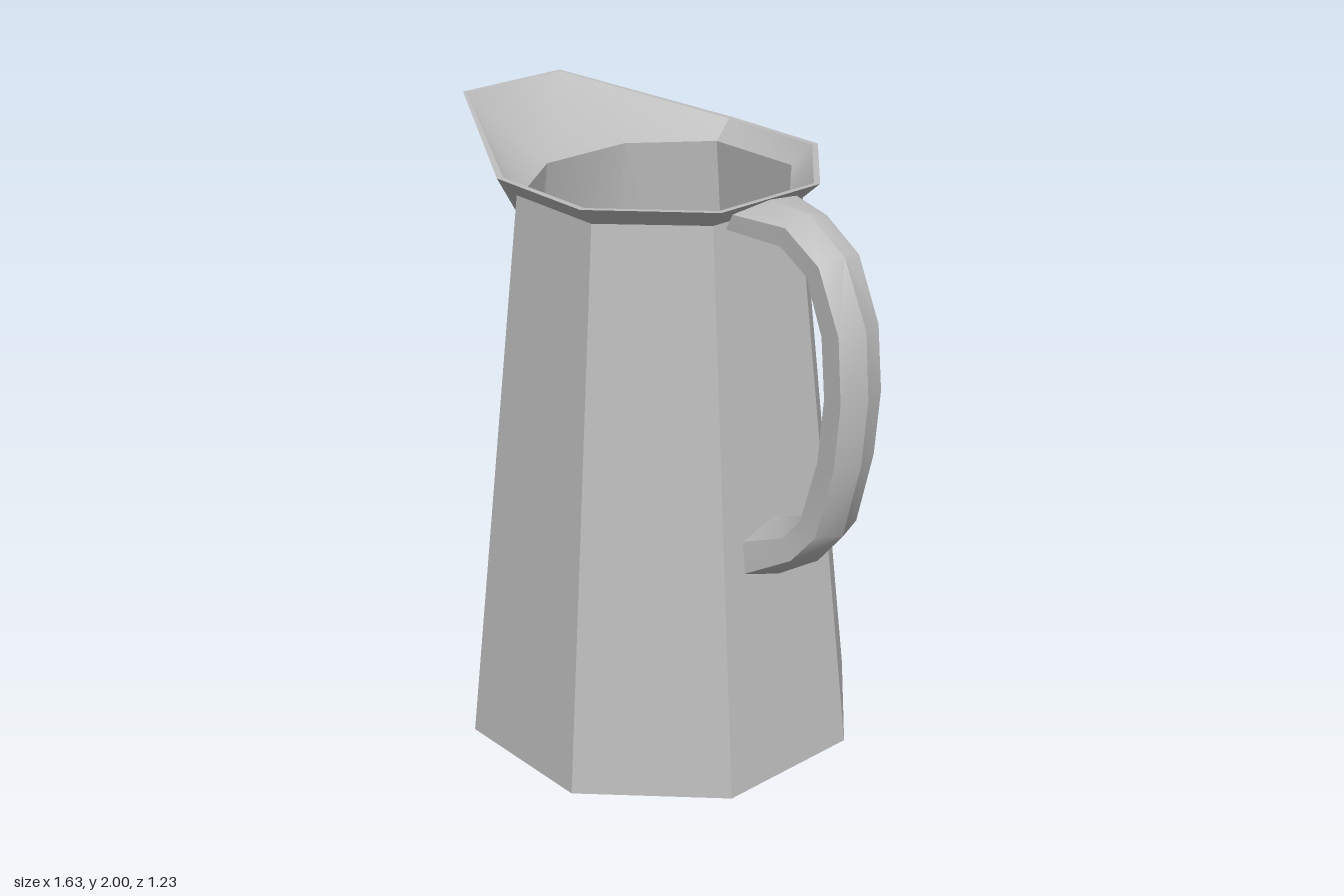
import * as THREE from 'three';
import { toCreasedNormals } from 'three/addons/utils/BufferGeometryUtils.js';

// Skin consecutive closed rings; sides picks which strips to build
function loft(rings, sides, crease) {
  const pos = [];
  const n = rings[0].length;
  for (let k = 0; k < rings.length - 1; k++) {
    for (const i of sides) {
      const j = (i + 1) % n;
      const a = rings[k][i], b = rings[k][j], c = rings[k + 1][i], d = rings[k + 1][j];
      // mirrored diagonals on the two halves
      const corners = i >= n / 2 ? [b, a, d, a, c, d] : [b, a, c, b, c, d];
      for (const p of corners) pos.push(...p);
    }
  }
  const g = new THREE.BufferGeometry();
  g.setAttribute('position', new THREE.Float32BufferAttribute(pos, 3));
  return toCreasedNormals(g, crease);
}

// Eight-point ring from its four +z points, mirrored across z
function ring(half) {
  return [...half, ...[...half].reverse().map(([x, y, z]) => [x, y, -z])];
}

const all = (n) => Array.from({ length: n }, (_, i) => i);
const centre = (y) => Array.from({ length: 8 }, () => [-0.085, y, 0]);

export function createModel() {
  const group = new THREE.Group();
  const grey = new THREE.MeshStandardMaterial({ color: 0xbcbcbc, side: THREE.DoubleSide });
  grey.name = 'plain grey';

  const add = (name, geometry) => {
    const mesh = new THREE.Mesh(geometry, grey);
    mesh.name = name;
    group.add(mesh);
  };

  // Octagonal rings; the last point of each is pulled out for the spout
  const base = ring([[0.53, 0, 0.254], [0.17, 0, 0.613], [-0.337, 0, 0.613], [-0.70, 0, 0.254]]);
  const shoulder = ring([[0.34, 1.84, 0.175], [0.09, 1.84, 0.425], [-0.26, 1.84, 0.425], [-0.52, 1.47, 0.11]]);
  const rimOuter = ring([[0.40, 1.90, 0.2], [0.11, 1.90, 0.482], [-0.28, 1.90, 0.482], [-0.82, 2.0, 0.2]]);
  const rimInner = ring([[0.382, 1.90, 0.192], [0.105, 1.90, 0.462], [-0.275, 1.90, 0.462], [-0.81, 1.998, 0.193]]);
  const neck = ring([[0.31, 1.84, 0.163], [0.08, 1.84, 0.398], [-0.265, 1.84, 0.398], [-0.445, 1.84, 0.16]]);
  const floor = ring([[0.49, 0.04, 0.235], [0.15, 0.04, 0.575], [-0.32, 0.04, 0.575], [-0.6, 0.04, 0.14]]);

  const plainSides = [0, 1, 5, 6, 7], spoutSides = [2, 3, 4];

  // Body shell
  add('bodyPanels', loft([base, shoulder], plainSides, 0.6));
  add('bodyUnderSpout', loft([base, shoulder], spoutSides, 1.2));
  add('bodyBottom', loft([centre(0), base], all(8), 0.6));

  // Flared rim and spout
  add('rimFlare', loft([shoulder, rimOuter], plainSides, 0.6));
  add('spoutOuter', loft([shoulder, rimOuter], spoutSides, 0.8));
  add('rimEdge', loft([rimOuter, rimInner], all(8), 0.6));
  add('rimInside', loft([rimInner, neck], plainSides, 0.6));
  add('spoutInside', loft([rimInner, neck], spoutSides, 1.2));

  // Hollow interior
  add('innerWall', loft([neck, floor], all(8), 0.6));
  add('innerFloor', loft([floor, centre(0.04)], all(8), 0.6));

  // Handle stations, bottom to top: outer x, y, inner x, y, half width
  const stations = [
    [0.45, 0.68, 0.43, 0.88, 0.14],
    [0.63, 0.80, 0.56, 0.915, 0.1],
    [0.73, 0.92, 0.61, 0.98, 0.088],
    [0.795, 1.18, 0.67, 1.18, 0.084],
    [0.813, 1.39, 0.69, 1.39, 0.084],
    [0.795, 1.60, 0.67, 1.57, 0.082],
    [0.70, 1.80, 0.61, 1.725, 0.082],
    [0.55, 1.892, 0.52, 1.78, 0.085],
    [0.385, 1.895, 0.335, 1.80, 0.13],
  ];
  // Six-sided section with a ridge on the outer and inner face
  const section = ([ox, oy, ix, iy, w]) =>
    [[0, 0], [0.24, w], [0.78, w], [1, 0], [0.78, -w], [0.24, -w]].map(([t, z]) =>
      [ox + (ix - ox) * t, oy + (iy - oy) * t, z]);
  add('handle', loft(stations.map(section), all(6), 0.66));

  return group;
}
